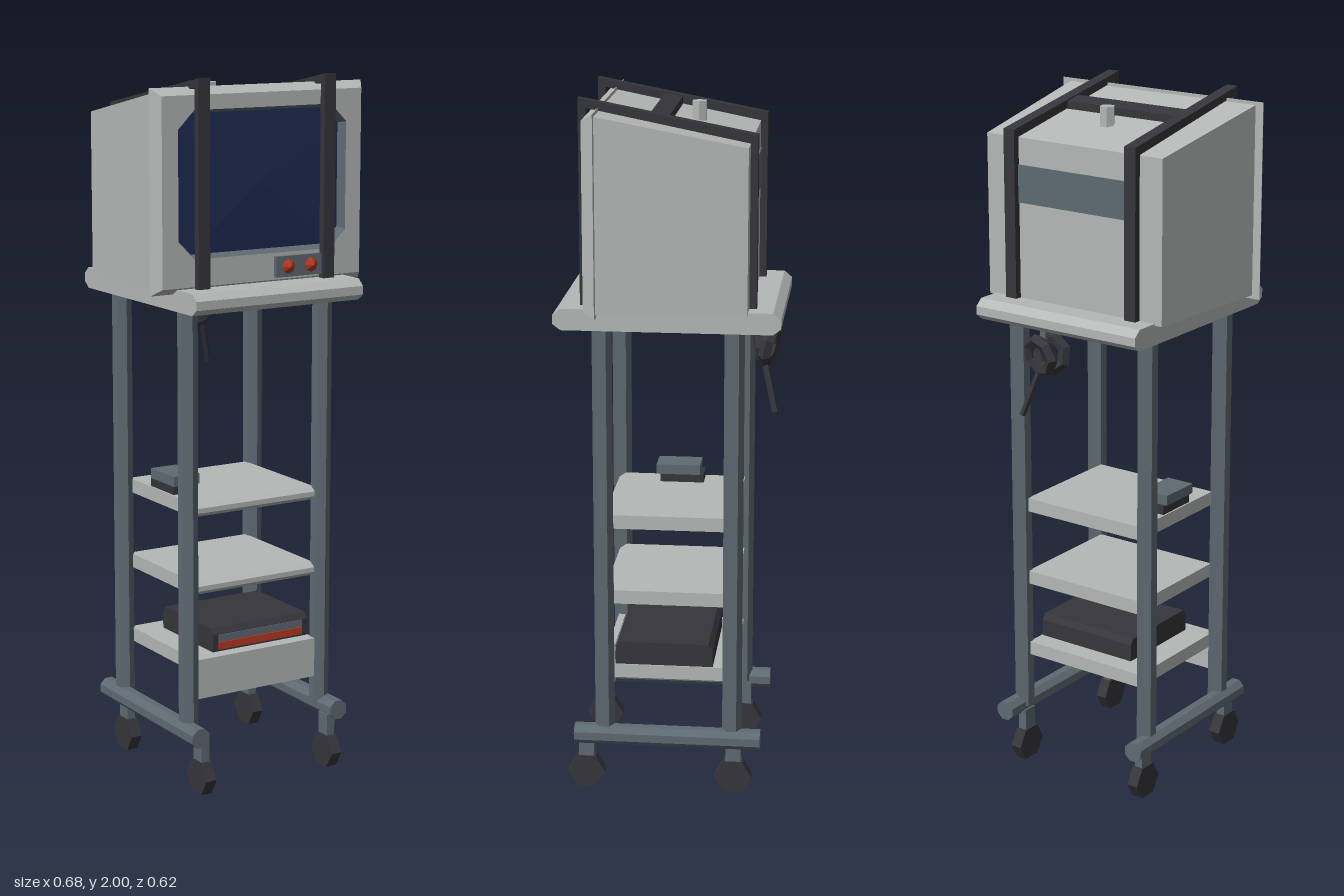
import * as THREE from 'three';

const mat = (name, color) => {
  const m = new THREE.MeshStandardMaterial({ color, flatShading: true });
  m.name = name;
  return m;
};

export function createModel() {
  const root = new THREE.Group();
  root.name = 'monitorCart';
  const grey = mat('light grey', 0xb4b8b6);
  const slate = mat('slate metal', 0x5e6a72);
  const dark = mat('charcoal', 0x36353b);
  const blue = mat('screen blue', 0x1f2b52);
  const red = mat('signal red', 0xb83a22);

  const add = (name, geo, material, x = 0, y = 0, z = 0) => {
    const m = new THREE.Mesh(geo, material);
    m.name = name;
    m.position.set(x, y, z);
    root.add(m);
    return m;
  };
  // Box from minimum and maximum corners
  const box = (name, material, x0, x1, y0, y1, z0, z1) =>
    add(name, new THREE.BoxGeometry(x1 - x0, y1 - y0, z1 - z0), material,
      (x0 + x1) / 2, (y0 + y1) / 2, (z0 + z1) / 2);
  // Side profile of [z, y] points, extruded across x
  const profile = (name, material, pts, width, x = 0, hole) => {
    const v = (list) => list.map(([z, y]) => new THREE.Vector2(z, y));
    const s = new THREE.Shape(v(pts));
    if (hole) s.holes.push(new THREE.Path(v(hole)));
    const g = new THREE.ExtrudeGeometry(s, { depth: width, bevelEnabled: false });
    g.translate(0, 0, -width / 2).rotateY(-Math.PI / 2);
    return add(name, g, material, x);
  };
  // Ring of faces joining two loops of equal length
  const band = (name, material, a, b) => {
    const out = [];
    a.forEach((p, i) => {
      const j = (i + 1) % a.length;
      out.push(...p, ...a[j], ...b[j], ...p, ...b[j], ...b[i]);
    });
    const g = new THREE.BufferGeometry();
    g.setAttribute('position', new THREE.Float32BufferAttribute(out, 3));
    g.computeVertexNormals();
    return add(name, g, material);
  };
  const rect = (w, y0, y1, z) => [[-w, y0, z], [w, y0, z], [w, y1, z], [-w, y1, z]];
  const octagon = (w, y0, y1, z, c) => [
    [-w + c, y0, z], [w - c, y0, z], [w, y0 + c, z], [w, y1 - c, z],
    [w - c, y1, z], [-w + c, y1, z], [-w, y1 - c, z], [-w, y0 + c, z]];
  const point = (n, x, y, z) => Array.from({ length: n }, () => [x, y, z]);

  // Monitor housing, tapering to the back
  const back = rect(0.293, 1.43, 1.885, -0.222);
  band('monitorHousing', grey, back, rect(0.315, 1.43, 1.965, 0.187));
  band('monitorBack', grey, point(4, 0, 1.65, -0.222), back);
  box('rearVent', slate, -0.19, 0.19, 1.705, 1.81, -0.226, -0.218);

  // Front bezel with a recessed screen
  const rimBack = rect(0.34, 1.42, 1.975, 0.187);
  band('bezelBack', grey, point(4, 0, 1.7, 0.187), rimBack);
  band('bezelEdge', grey, rimBack, rect(0.32, 1.44, 1.955, 0.22));
  const v2 = (loop) => loop.map(([x, y]) => new THREE.Vector2(x, y));
  const opening = octagon(0.27, 1.515, 1.915, 0.22, 0.05);
  const face = new THREE.Shape(v2(rect(0.32, 1.44, 1.955, 0)));
  face.holes.push(new THREE.Path(v2(opening)));
  add('bezelFace', new THREE.ShapeGeometry(face), grey, 0, 0, 0.22);
  const glass = octagon(0.26, 1.525, 1.905, 0.192, 0.045);
  band('screenRecess', slate, opening, glass);
  band('screen', blue, glass, point(8, 0, 1.715, 0.205));

  // Control panel with two buttons
  box('controlPanel', slate, 0.035, 0.195, 1.447, 1.505, 0.218, 0.232);
  for (const x of [0.075, 0.15]) {
    const b = new THREE.ConeGeometry(0.021, 0.014, 8);
    add('button', b.rotateX(Math.PI / 2), red, x, 1.476, 0.239);
  }

  // Straps around the monitor, their crossbar and the clamp knob
  for (const s of [-1, 1]) {
    profile('strap', dark,
      [[0.242, 1.42], [0.242, 2.0], [-0.242, 1.908], [-0.242, 1.42]], 0.036, s * 0.202,
      [[0.221, 1.425], [0.221, 1.974], [-0.222, 1.886], [-0.222, 1.425]]);
  }
  profile('strapCrossbar', dark,
    [[0, 1.925], [0.05, 1.935], [0.05, 1.96], [0, 1.95]], 0.37);
  const knob = new THREE.CylinderGeometry(0.022, 0.022, 0.08, 6);
  add('topKnob', knob.rotateY(Math.PI / 6), grey, 0, 1.927, -0.065);

  // Top board with bevelled front and back edges
  profile('topBoard', grey, [[0.29, 1.375], [0.312, 1.392], [0.312, 1.416], [0.29, 1.435],
    [-0.29, 1.435], [-0.312, 1.416], [-0.312, 1.392], [-0.29, 1.375]], 0.54);

  // Shelves with a rounded front edge
  for (const y of [0.785, 0.56, 0.335]) {
    profile('shelf', grey, [[0.172, y], [0.19, y + 0.013], [0.19, y + 0.027], [0.172, y + 0.04],
      [-0.185, y + 0.04], [-0.185, y]], 0.4);
  }
  box('lowerFrontPanel', grey, -0.21, 0.21, 0.26, 0.375, 0.175, 0.195);

  // Posts, foot rails and casters on both sides
  for (const s of [-1, 1]) {
    for (const z of [-0.183, 0.183]) {
      add('post', new THREE.CylinderGeometry(0.028, 0.028, 1.21, 6), slate, s * 0.221, 0.775, z);
    }
    const rail = new THREE.CylinderGeometry(0.03, 0.03, 0.535, 8);
    rail.rotateY(Math.PI / 8).rotateX(Math.PI / 2);
    add('footRail', rail, slate, s * 0.232, 0.172, 0.002);
    for (const z of [0.238, -0.187]) {
      const wheel = new THREE.CylinderGeometry(0.054, 0.054, 0.034, 6);
      wheel.rotateZ(Math.PI / 2);
      add('casterWheel', wheel, dark, s * 0.212, 0.05, z);
      box('casterStem', slate, s * 0.212 - 0.013, s * 0.212 + 0.013, 0.075, 0.16,
        z - 0.022, z + 0.022);
    }
  }

  // Recorder on the bottom shelf
  profile('recorderBody', dark, [[0.155, 0.375], [0.155, 0.425], [0.142, 0.442],
    [-0.112, 0.442], [-0.125, 0.425], [-0.125, 0.375]], 0.32, 0.036);
  box('recorderPanel', slate, -0.105, 0.177, 0.403, 0.424, 0.152, 0.158);
  box('recorderStrip', red, -0.105, 0.177, 0.381, 0.402, 0.152, 0.159);

  // Small box on the upper shelf
  box('smallBoxBase', dark, -0.195, -0.125, 0.825, 0.851, -0.068, 0.06);
  box('smallBoxLid', slate, -0.2, -0.115, 0.851, 0.88, -0.058, 0.07);

  // Coiled cable on a hook behind the top board, with a loose end
  box('cableHook', slate, 0.065, 0.085, 1.33, 1.38, -0.265, -0.245);
  [[0.062, 1.3, -0.245, 0.15], [0.078, 1.297, -0.27, -0.2]].forEach(([x, y, z, tilt], i) => {
    const coil = add('cableCoil', new THREE.TorusGeometry(0.045, 0.019, 5, 7), dark, x, y, z);
    coil.rotation.set(tilt, tilt, i * 0.45);
  });
  const tail = new THREE.LineCurve3(
    new THREE.Vector3(0.088, 1.265, -0.255), new THREE.Vector3(0.13, 1.12, -0.29));
  const end = add('cableEnd', new THREE.TubeGeometry(tail, 1, 0.009, 5, false), dark);
  end.material = dark.clone();
  end.material.side = THREE.DoubleSide;

  return root;
}
